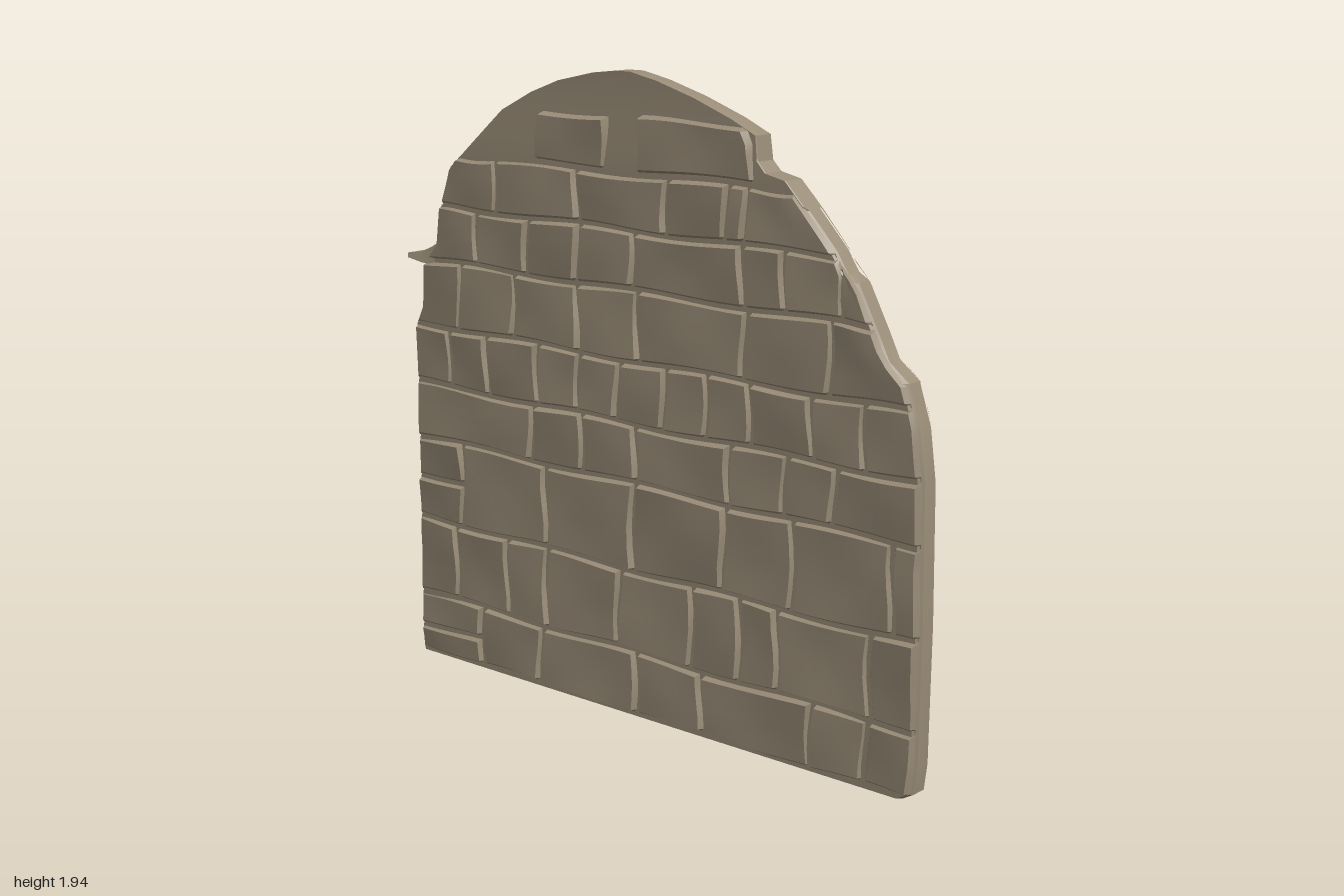
import * as THREE from 'three';
import { mergeGeometries, toCreasedNormals } from 'three/addons/utils/BufferGeometryUtils.js';

// Ruined outline: [y, x] for each side
const LEFT = [[0, -0.985], [0.02, -0.99], [0.6, -0.985], [1.1, -0.985], [1.13, -0.96], [1.17, -0.945], [1.3, -0.935],
  [1.36, -0.88], [1.48, -0.865], [1.5, -0.85], [1.61, -0.81], [1.66, -0.75], [1.73, -0.67], [1.8, -0.59],
  [1.86, -0.47], [1.9, -0.36], [1.93, -0.22], [1.94, -0.13]];
const RIGHT = [[0, 0.94], [0.02, 0.975], [0.1, 0.985], [0.5, 0.99], [0.9, 0.985], [1.05, 0.965], [1.17, 0.925],
  [1.22, 0.86], [1.3, 0.82], [1.42, 0.755], [1.44, 0.72], [1.5, 0.68], [1.6, 0.585], [1.675, 0.51], [1.69, 0.44],
  [1.72, 0.41], [1.79, 0.4], [1.83, 0.31], [1.88, 0.17], [1.92, 0.03], [1.94, -0.07]];

// Courses: [bottom, top, front joints, back joints]
const ROWS = [
  [0.008, 0.205, [-0.69, -0.43, -0.03, 0.23, 0.63, 0.82], [-0.64, -0.21, 0.24, 0.64]],
  [0.205, 0.46, [-0.8, -0.57, -0.4, -0.1, 0.19, 0.37, 0.51, 0.83], [-0.39, 0.01, 0.44, 0.83]],
  [0.46, 0.73, [-0.77, -0.4, -0.04, 0.31, 0.56, 0.9], [-0.47, -0.03, 0.33, 0.65]],
  [0.73, 0.91, [-0.46, -0.25, -0.03, 0.33, 0.53, 0.7], [-0.43, 0.11, 0.55]],
  [0.91, 1.1, [-0.82, -0.65, -0.43, -0.26, -0.1, 0.08, 0.24, 0.4, 0.62, 0.8], [-0.7, -0.2, 0.25, 0.6]],
  [1.1, 1.31, [-0.77, -0.53, -0.26, -0.02, 0.38, 0.68], [-0.75, -0.5, 0.08, 0.3]],
  [1.31, 1.485, [-0.69, -0.47, -0.26, -0.04, 0.37, 0.52, 0.72], [-0.3, 0.2, 0.45]],
  [1.485, 1.65, [-0.61, -0.26, 0.09, 0.31, 0.38], [-0.2, 0.3]],
];

function sample(table, y) {
  let i = 1;
  while (i < table.length - 1 && table[i][0] < y) i++;
  const [a, b] = [table[i - 1], table[i]];
  const t = THREE.MathUtils.clamp((y - a[0]) / (b[0] - a[0]), 0, 1);
  return a[1] + (b[1] - a[1]) * t;
}

// Grid surface through rows of points, with hard edges kept sharp
function surface(rows, flip = false) {
  const n = rows[0].length, index = [];
  for (let j = 0; j < rows.length - 1; j++) {
    for (let i = 0; i < n - 1; i++) {
      const a = j * n + i, b = a + 1, c = a + n, d = c + 1;
      index.push(...(flip ? [a, d, b, a, c, d] : [a, b, d, a, d, c]));
    }
  }
  const g = new THREE.BufferGeometry();
  g.setAttribute('position', new THREE.Float32BufferAttribute(rows.flat(2), 3));
  g.setIndex(index);
  return toCreasedNormals(g.toNonIndexed(), 0.5);
}

const coreFront = (y) => 0.042 - 0.017 * THREE.MathUtils.smoothstep(y, 1.6, 1.94);
const coreBack = -0.035;

// Mortar core lofted upwards through chamfered sections
function coreGeometry() {
  const ys = [...new Set([...LEFT, ...RIGHT].map((p) => p[0]))].sort((a, b) => a - b);
  const ring = (y, flat) => {
    const l = sample(LEFT, y), r = sample(RIGHT, y), f = coreFront(y), b = coreBack;
    const c = y > 1.6 ? 0.003 : 0.014;
    const pts = [[l + c, f], [r - c, f], [r, f - c], [r, b + c], [r - c, b], [l + c, b], [l, b + c], [l, f - c], [l + c, f]];
    return pts.map(([x, z]) => [x, y, flat ? 0 : z]);
  };
  return surface([ring(0, true), ...ys.map((y) => ring(y, false)), ring(1.94, true)]);
}

// Worn stone: a bevelled, gently bulging block trimmed to the outline
function stone(x0, x1, y0, y1, side) {
  const steps = (len, n) => {
    const gap = 0.003 / len, bevel = 0.014 / len, s = [gap];
    for (let i = 0; i <= n; i++) s.push(bevel + (1 - 2 * bevel) * i / n);
    return [...s, 1 - gap];
  };
  const us = steps(x1 - x0, 6), vs = steps(y1 - y0, 4);
  const seed = x0 * 37 + y0 * 53 + side;
  const rows = vs.map((v, j) => us.map((u, i) => {
    const rim = i === 0 || j === 0 || i === us.length - 1 || j === vs.length - 1;
    const rx = x0 + (x1 - x0) * u, ry = y0 + (y1 - y0) * v;
    const y = Math.max(0.003, ry + 0.006 * Math.sin(rx * 9 + ry * 11));
    const wob = 0.007 * Math.sin(ry * 19 + rx * 5);
    const l = Math.max(x0 + wob, sample(LEFT, y) + 0.002), r = Math.min(x1 + wob, sample(RIGHT, y) - 0.002);
    const x = l + (r - l) * u;
    const noise = Math.sin(rx * 13 + seed) * Math.sin(ry * 17 + seed * 2);
    const tilt = (u - 0.5) * Math.sin(seed * 3) + (v - 0.5) * Math.cos(seed * 5);
    const front = 0.05 + 0.007 * (1 - x * x) + 0.004 * noise + 0.006 * tilt;
    const back = coreBack - 0.008 - 0.002 * noise - 0.004 * tilt;
    const z = side > 0 ? (rim ? coreFront(y) - 0.006 : front) : (rim ? coreBack + 0.004 : back);
    return [x, y, z];
  }));
  return surface(rows, side < 0);
}

export function createModel() {
  const group = new THREE.Group();
  const stoneMat = new THREE.MeshStandardMaterial({ color: 0x9a8d78 });
  stoneMat.name = 'warm grey stone';
  const add = (name, geometry) => {
    const m = new THREE.Mesh(geometry, stoneMat);
    m.name = name;
    group.add(m);
  };

  add('wallCore', coreGeometry());

  // Stone courses on both faces
  ROWS.forEach(([y0, y1, front, back], row) => {
    const mid = (y0 + y1) / 2;
    for (const side of [1, -1]) {
      const xs = [sample(LEFT, mid) - 0.1, ...(side > 0 ? front : back), sample(RIGHT, mid) + 0.1];
      xs[0] = Math.max(xs[0], -0.99);
      xs[xs.length - 1] = Math.min(xs[xs.length - 1], 0.99);
      const stones = [];
      for (let i = 0; i < xs.length - 1; i++) {
        // End stones of two lower courses are split into a stacked pair
        const split = side > 0 && i === 0 && (row === 0 || row === 2);
        const cuts = split ? [y0, row === 0 ? 0.095 : 0.6, y1] : [y0, y1];
        for (let k = 0; k < cuts.length - 1; k++) stones.push(stone(xs[i], xs[i + 1], cuts[k], cuts[k + 1], side));
      }
      add((side > 0 ? 'frontCourse' : 'backCourse') + (row + 1), mergeGeometries(stones));
    }
  });

  // Loose stones in the smooth crown
  add('crownStones', mergeGeometries([
    stone(-0.43, -0.15, 1.655, 1.815, 1), stone(-0.03, 0.4, 1.655, 1.82, 1), stone(-0.17, -0.03, 1.66, 1.77, -1),
  ]));

  // Flared chip on the broken edge: [x, bottom, top, half depth]
  const chip = [[-0.86, 1.29, 1.375, 0.036], [-0.9, 1.295, 1.35, 0.045], [-0.93, 1.3, 1.335, 0.058],
    [-0.97, 1.315, 1.33, 0.08], [-0.97, 1.322, 1.322, 0]];
  add('edgeChip', surface(chip.map(([x, b, t, h]) => [[x, t, h], [x, t, -h], [x, b, -h], [x, b, h], [x, t, h]])));

  return group;
}
